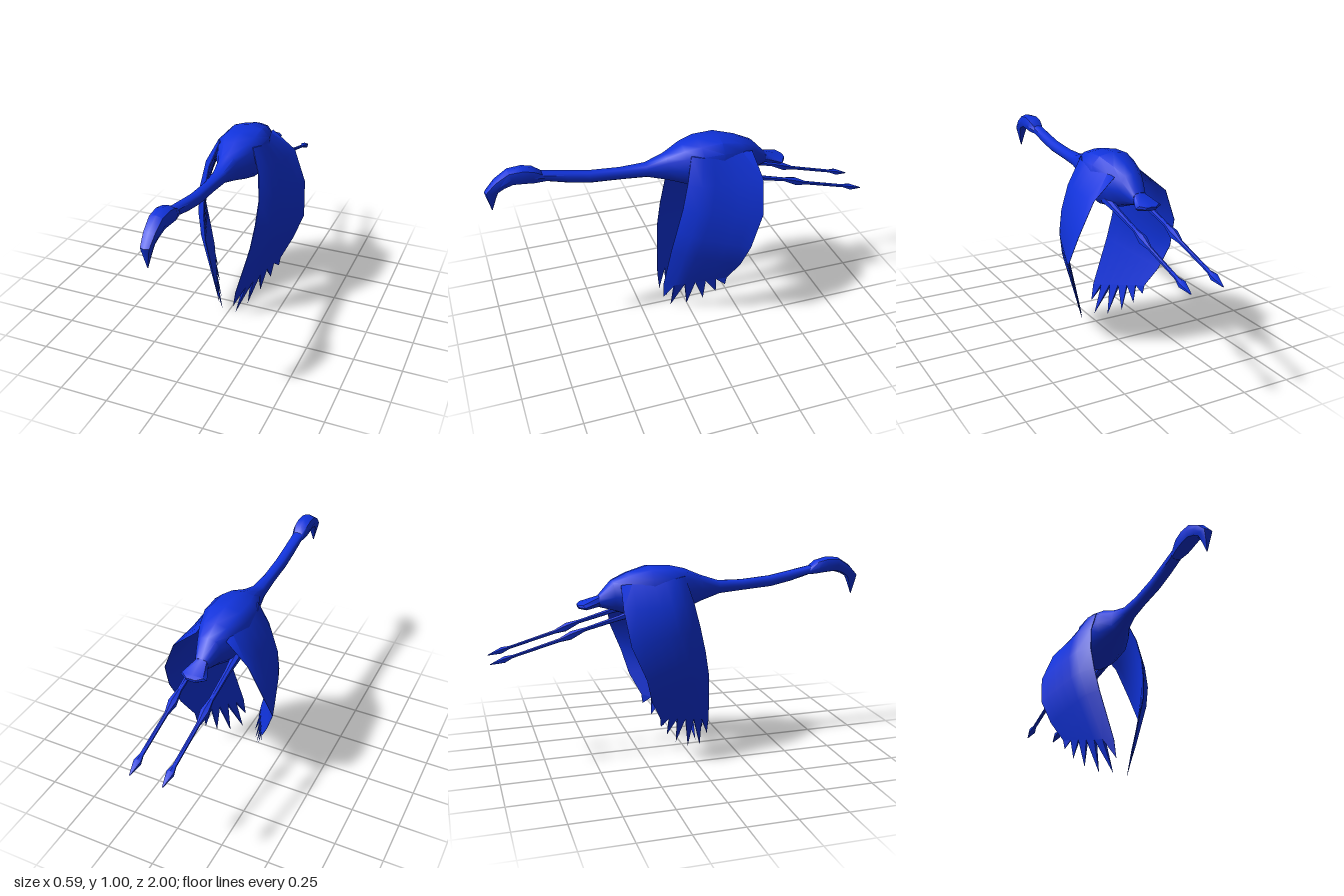
import * as THREE from 'three';
import { toCreasedNormals } from 'three/addons/utils/BufferGeometryUtils.js';

const material = new THREE.MeshStandardMaterial({ color: 0x1033dd, side: THREE.DoubleSide });

// Closed skin through rings of equal length, capped at both ends, faces turned outward.
function skin(name, rings, crease = 0.7) {
  const n = rings[0].length;
  const pts = rings.flat();
  const tris = [];
  for (let r = 0; r < rings.length - 1; r++) {
    for (let i = 0; i < n; i++) {
      const a = r * n + i, b = r * n + (i + 1) % n;
      tris.push([a, b, b + n], [a, b + n, a + n]);
    }
  }
  for (const [row, flip] of [[0, true], [rings.length - 1, false]]) {
    const centre = new THREE.Vector3();
    rings[row].forEach((p) => centre.addScaledVector(p, 1 / n));
    const c = pts.push(centre) - 1;
    for (let i = 0; i < n; i++) {
      const a = row * n + i, b = row * n + (i + 1) % n;
      tris.push(flip ? [b, a, c] : [a, b, c]);
    }
  }
  let volume = 0;
  const origin = pts[0], cross = new THREE.Vector3();
  const rel = pts.map((p) => p.clone().sub(origin));
  for (const [a, b, c] of tris) volume += rel[a].dot(cross.crossVectors(rel[b], rel[c]));
  if (volume < 0) tris.forEach((t) => t.reverse());
  const geometry = new THREE.BufferGeometry().setFromPoints(pts);
  geometry.setIndex(tris.flat());
  const mesh = new THREE.Mesh(toCreasedNormals(geometry, crease), material);
  mesh.name = name;
  return mesh;
}

// Rounded ring between a top and a bottom point: [topZ, topY, bottomZ, bottomY, halfWidth].
function ring([tz, ty, bz, by, w], sides, x = 0, power = 0.75) {
  const squash = (v) => Math.sign(v) * Math.abs(v) ** power;
  return Array.from({ length: sides }, (_, i) => {
    const a = (i / sides) * Math.PI * 2;
    const t = (1 - squash(Math.cos(a))) / 2;
    return new THREE.Vector3(x + w * squash(Math.sin(a)), ty + (by - ty) * t, tz + (bz - tz) * t);
  });
}

// Wing stations from shoulder to feather line: leading edge, trailing edge, thickness.
const stations = [
  [[0.09, 0.96, -0.01], [0.08, 0.93, -0.34], 0.03],
  [[0.135, 0.83, 0.025], [0.2, 0.83, -0.355], 0.036],
  [[0.15, 0.7, 0.055], [0.27, 0.66, -0.335], 0.036],
  [[0.143, 0.57, 0.085], [0.295, 0.49, -0.265], 0.034],
  [[0.125, 0.44, 0.11], [0.25, 0.36, -0.23], 0.03],
  [[0.055, 0.17, 0.135], [0.2, 0.25, -0.175], 0.016],
];
const featherTips = [
  [0.04, 0.075, 0.13], [0.038, 0.01, 0.09], [0.078, 0.03, 0.01],
  [0.122, 0.08, -0.07], [0.16, 0.14, -0.13], [0.193, 0.2, -0.17],
];
const bulge = [0.1, 1, 0.9, 0.7, 0.5, 0.3, 0.05];

function makeWing(side, name) {
  const wing = new THREE.Group();
  wing.name = name;
  const surface = ([lead, trail, thick], sign) => bulge.map((b, i) => {
    const p = new THREE.Vector3(...lead).lerp(new THREE.Vector3(...trail), i / (bulge.length - 1));
    p.x = side * (p.x + b * thick * (sign > 0 ? 1 : -0.1));
    return p;
  });
  wing.add(skin('wingPanel', stations.map((s) => [...surface(s, 1), ...surface(s, -1).reverse()])));

  // Pointed feathers along the wing end
  const last = stations[stations.length - 1];
  const outer = surface(last, 1), inner = surface(last, -1);
  featherTips.forEach(([x, y, z], i) => {
    const base = [outer[i], outer[i + 1], inner[i + 1], inner[i]];
    const tip = new THREE.Vector3(side * x, y, z);
    wing.add(skin('wingFeather', [base, base.map((p) => p.clone().lerp(tip, 0.99))]));
  });
  return wing;
}

export function createModel() {
  const model = new THREE.Group();
  model.name = 'flyingBird';

  // Torso narrowing into the neck in front and the tail behind
  model.add(skin('bodyAndNeck', [
    [0.72, 0.962, 0.7, 0.913, 0.03],
    [0.6, 0.94, 0.6, 0.885, 0.03],
    [0.49, 0.92, 0.49, 0.863, 0.03],
    [0.33, 0.908, 0.33, 0.852, 0.03],
    [0.2, 0.91, 0.2, 0.843, 0.038],
    [0.1, 0.945, 0.1, 0.81, 0.055],
    [0.01, 0.985, 0.02, 0.785, 0.1],
    [-0.07, 1.005, -0.07, 0.76, 0.13],
    [-0.18, 1.01, -0.18, 0.742, 0.13],
    [-0.29, 0.98, -0.28, 0.755, 0.1],
    [-0.37, 0.945, -0.36, 0.785, 0.065],
    [-0.44, 0.87, -0.44, 0.81, 0.036],
  ].map((r) => ring(r, 12))));

  // Fanned tail
  model.add(skin('tail', [
    [-0.37, 0.92, -0.37, 0.8, 0.05],
    [-0.44, 0.87, -0.44, 0.81, 0.036],
    [-0.53, 0.838, -0.51, 0.805, 0.07],
    [-0.55, 0.83, -0.545, 0.81, 0.03],
  ].map((r) => ring(r, 8))));

  // Head with a down-curved bill
  model.add(skin('headAndBill', [
    [0.72, 0.962, 0.7, 0.913, 0.03],
    [0.76, 0.992, 0.76, 0.915, 0.044],
    [0.81, 1.005, 0.81, 0.92, 0.045],
    [0.88, 1.0, 0.86, 0.924, 0.042],
    [0.95, 0.955, 0.9, 0.912, 0.036],
    [1.0, 0.9, 0.93, 0.895, 0.028],
    [0.99, 0.855, 0.95, 0.85, 0.016],
    [0.974, 0.795, 0.971, 0.795, 0.002],
  ].map((r) => ring(r, 8))));

  // Trailing legs: [z, y, half height, half width] with knee and folded foot
  const legPath = [
    [-0.24, 0.8, 0.025, 0.025], [-0.36, 0.767, 0.014, 0.015], [-0.53, 0.722, 0.01, 0.012],
    [-0.6, 0.697, 0.022, 0.023], [-0.66, 0.676, 0.01, 0.01], [-0.89, 0.612, 0.008, 0.01],
    [-0.93, 0.6, 0.017, 0.02], [-1, 0.58, 0.002, 0.003],
  ];
  for (const [x, name] of [[0.075, 'leftLeg'], [-0.094, 'rightLeg']]) {
    model.add(skin(name, legPath.map(([z, y, h, w]) => ring([z, y + h, z, y - h, w], 6, x))));
  }

  model.add(makeWing(1, 'leftWing'), makeWing(-1, 'rightWing'));
  return model;
}
